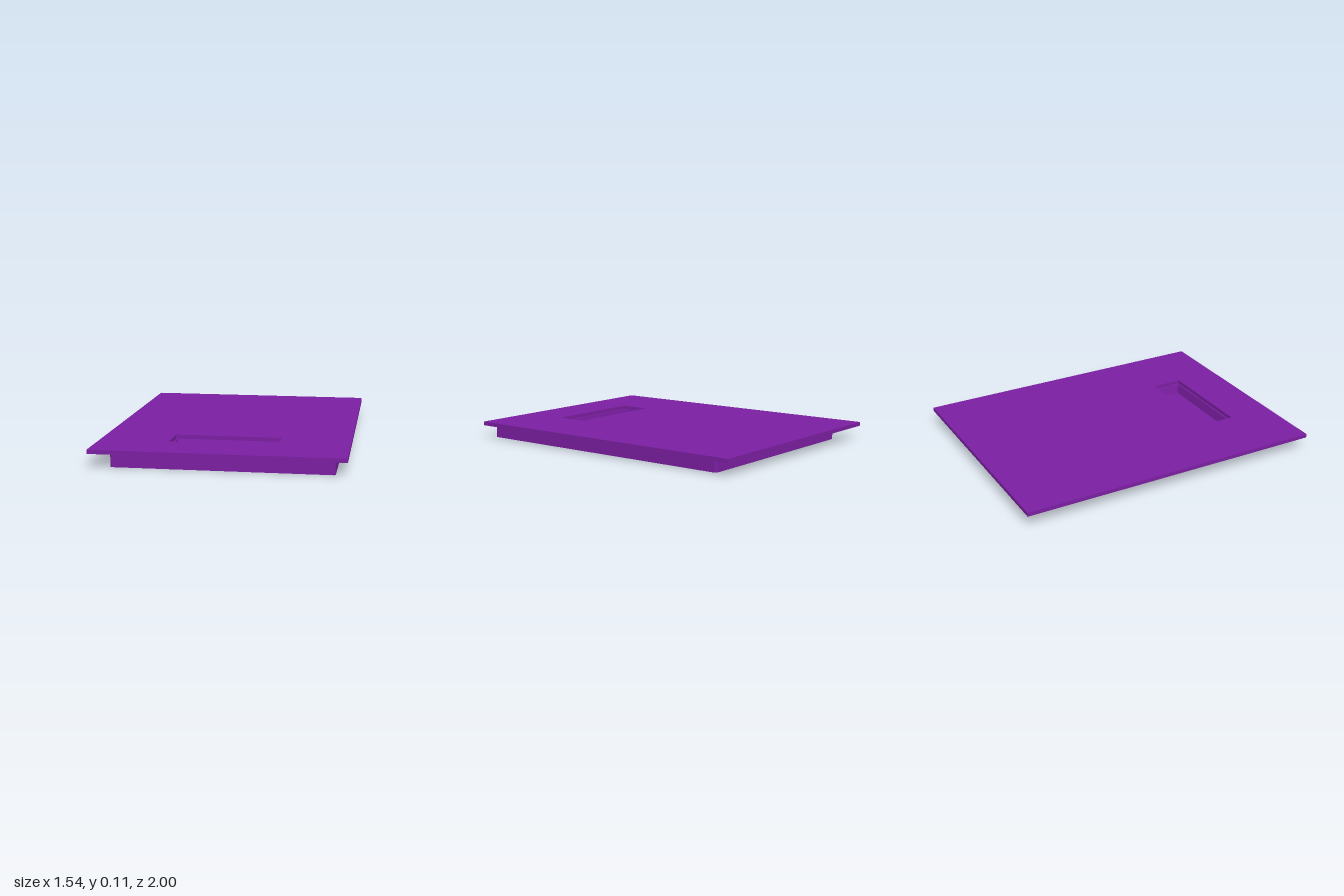
import * as THREE from 'three';

const material = new THREE.MeshStandardMaterial({ color: 0x7b1fa2, flatShading: true });

// Rectangle path in plan, optional rounded corners (plan y = -z)
function rect(Type, x0, x1, z0, z1, r = 0) {
  const p = new Type();
  const y0 = -z1, y1 = -z0;
  if (!r) {
    return p.moveTo(x0, y0).lineTo(x1, y0).lineTo(x1, y1).lineTo(x0, y1).closePath();
  }
  p.absarc(x1 - r, y0 + r, r, -Math.PI / 2, 0);
  p.absarc(x1 - r, y1 - r, r, 0, Math.PI / 2);
  p.absarc(x0 + r, y1 - r, r, Math.PI / 2, Math.PI);
  p.absarc(x0 + r, y0 + r, r, Math.PI, Math.PI * 1.5);
  return p.closePath();
}

// Upright slab with one opening, from height y0 to y1
function slab(name, outline, hole, y0, y1) {
  outline.holes.push(hole);
  const geo = new THREE.ExtrudeGeometry(outline, { depth: y1 - y0, bevelEnabled: false, curveSegments: 4 });
  geo.rotateX(-Math.PI / 2).translate(0, y0, 0);
  const mesh = new THREE.Mesh(geo, material);
  mesh.name = name;
  return mesh;
}

// Skin through rectangular rings [halfWidth, zBack, zFront, y], capped at both ends
function loft(name, rings) {
  const loops = rings.map(([w, z0, z1, y]) => [[-w, y, z1], [w, y, z1], [w, y, z0], [-w, y, z0]]);
  const pos = [];
  const quad = (a, b, c, d) => [a, b, c, a, c, d].forEach((p) => pos.push(...p));
  for (let k = 0; k < loops.length - 1; k++) {
    for (let i = 0; i < 4; i++) {
      const j = (i + 1) % 4;
      quad(loops[k][i], loops[k][j], loops[k + 1][j], loops[k + 1][i]);
    }
  }
  quad(...[...loops[0]].reverse());
  quad(...loops[loops.length - 1]);
  const geo = new THREE.BufferGeometry();
  geo.setAttribute('position', new THREE.Float32BufferAttribute(pos, 3));
  geo.computeVertexNormals();
  const mesh = new THREE.Mesh(geo, material);
  mesh.name = name;
  return mesh;
}

export function createModel() {
  const model = new THREE.Group();
  model.name = 'hatchCover';

  // Flat cover plate with the grip opening
  model.add(slab('coverPlate',
    rect(THREE.Shape, -0.77, 0.77, -1, 1),
    rect(THREE.Path, -0.335, 0.335, 0.5, 0.705), 0.085, 0.11));

  // Locating rim under the plate, set off centre
  model.add(slab('rim',
    rect(THREE.Shape, -0.64, 0.7, -0.87, 0.96, 0.015),
    rect(THREE.Path, -0.62, 0.68, -0.85, 0.94), 0, 0.085));

  // Recessed finger grip with a sloping back wall
  model.add(loft('gripPocket', [
    [0.325, 0.53, 0.695, 0.012],
    [0.335, 0.5, 0.705, 0.085],
    [0.325, 0.507, 0.695, 0.085],
    [0.315, 0.535, 0.685, 0.024],
  ]));

  return model;
}
